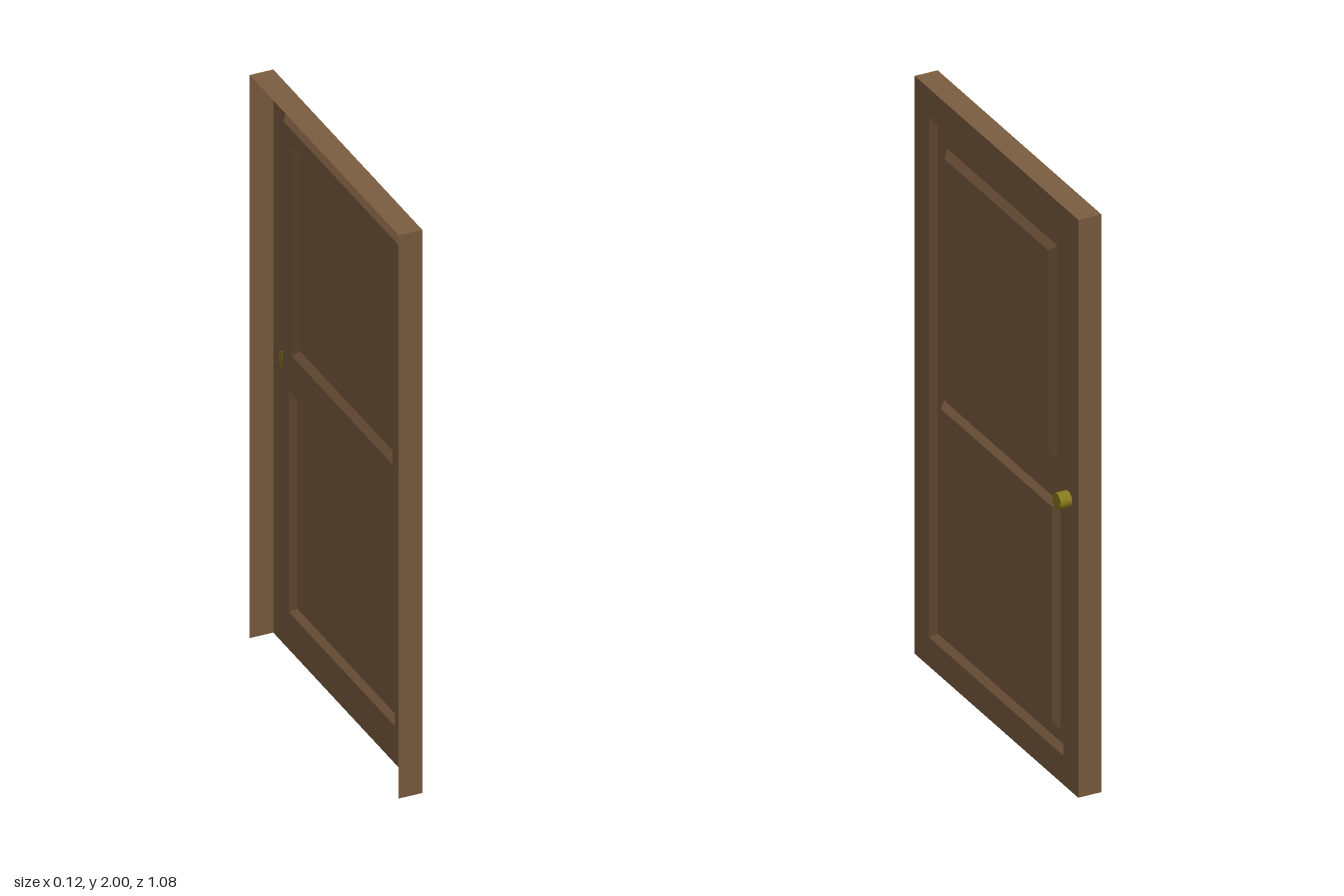
import * as THREE from 'three';

const FRONT = 0.02, SUNK = 0, BACK = -0.06; // depth levels of the pressed sheet
const rect = (w, y0, y1) => ({ w, y0, y1 }); // w is the half width
const inset = (r, d) => rect(r.w - d, r.y0 + d, r.y1 - d);
const corners = (r) => [[-r.w, r.y0], [r.w, r.y0], [r.w, r.y1], [-r.w, r.y1]];
const points = (r) => corners(r).map(([x, y]) => new THREE.Vector2(x, y));

// flat sheet with rectangular openings
function sheet(r, depth, holes = []) {
  const shape = new THREE.Shape(points(r));
  holes.forEach((h) => shape.holes.push(new THREE.Path(points(h))));
  return new THREE.ShapeGeometry(shape).translate(0, 0, depth);
}

// four mitred sloping strips between two rectangles
function bevel(outer, zOuter, inner, zInner) {
  const a = corners(outer).map((p) => [...p, zOuter]);
  const b = corners(inner).map((p) => [...p, zInner]);
  const pos = [];
  for (let i = 0; i < 4; i++) {
    const j = (i + 1) % 4;
    pos.push(...a[i], ...a[j], ...b[j], ...a[i], ...b[j], ...b[i]);
  }
  const g = new THREE.BufferGeometry();
  g.setAttribute('position', new THREE.Float32BufferAttribute(pos, 3));
  g.computeVertexNormals();
  return g;
}

export function createModel() {
  const wood = new THREE.MeshStandardMaterial({ color: 0x7c5d40, side: THREE.DoubleSide });
  const brass = new THREE.MeshStandardMaterial({ color: 0x877a1e });
  const door = new THREE.Group();
  door.name = 'door';
  const add = (name, geometry, material = wood) => {
    const mesh = new THREE.Mesh(geometry, material);
    mesh.name = name;
    door.add(mesh);
    return mesh;
  };

  const leaf = rect(0.54, 0, 2);
  const recess = rect(0.444, 0.1, 1.9);
  const floor = inset(recess, 0.018);
  const panels = [
    { name: 'upperPanel', r: rect(0.365, 1.08, 1.825), d: 0.022 },
    { name: 'lowerPanel', r: rect(0.384, 0.16, 0.944), d: 0.017 },
  ];

  // outer frame and the sunken field inside it
  add('frame', sheet(leaf, FRONT, [recess]));
  add('recessBevel', bevel(recess, FRONT, floor, SUNK));
  add('recessField', sheet(floor, SUNK, panels.map((p) => p.r)));

  // raised panels
  for (const { name, r, d } of panels) {
    const top = inset(r, d);
    add(name + 'Bevel', bevel(r, SUNK, top, FRONT));
    add(name, sheet(top, FRONT));
  }

  // edge flanges; the back and bottom stay open
  const thick = FRONT - BACK, mid = (FRONT + BACK) / 2;
  for (const s of [-1, 1]) {
    add(s < 0 ? 'hingeEdge' : 'latchEdge',
      new THREE.PlaneGeometry(thick, 2).rotateY(s * Math.PI / 2).translate(s * leaf.w, 1, mid));
  }
  add('topEdge', new THREE.PlaneGeometry(leaf.w * 2, thick).rotateX(-Math.PI / 2).translate(0, 2, mid));

  // knob
  add('knob', new THREE.CylinderGeometry(0.027, 0.027, 0.042, 32).rotateX(Math.PI / 2), brass)
    .position.set(0.473, 1.005, 0.039);

  // turn the panelled face towards +x
  door.rotation.y = Math.PI / 2;
  const model = new THREE.Group();
  model.add(door);
  return model;
}
